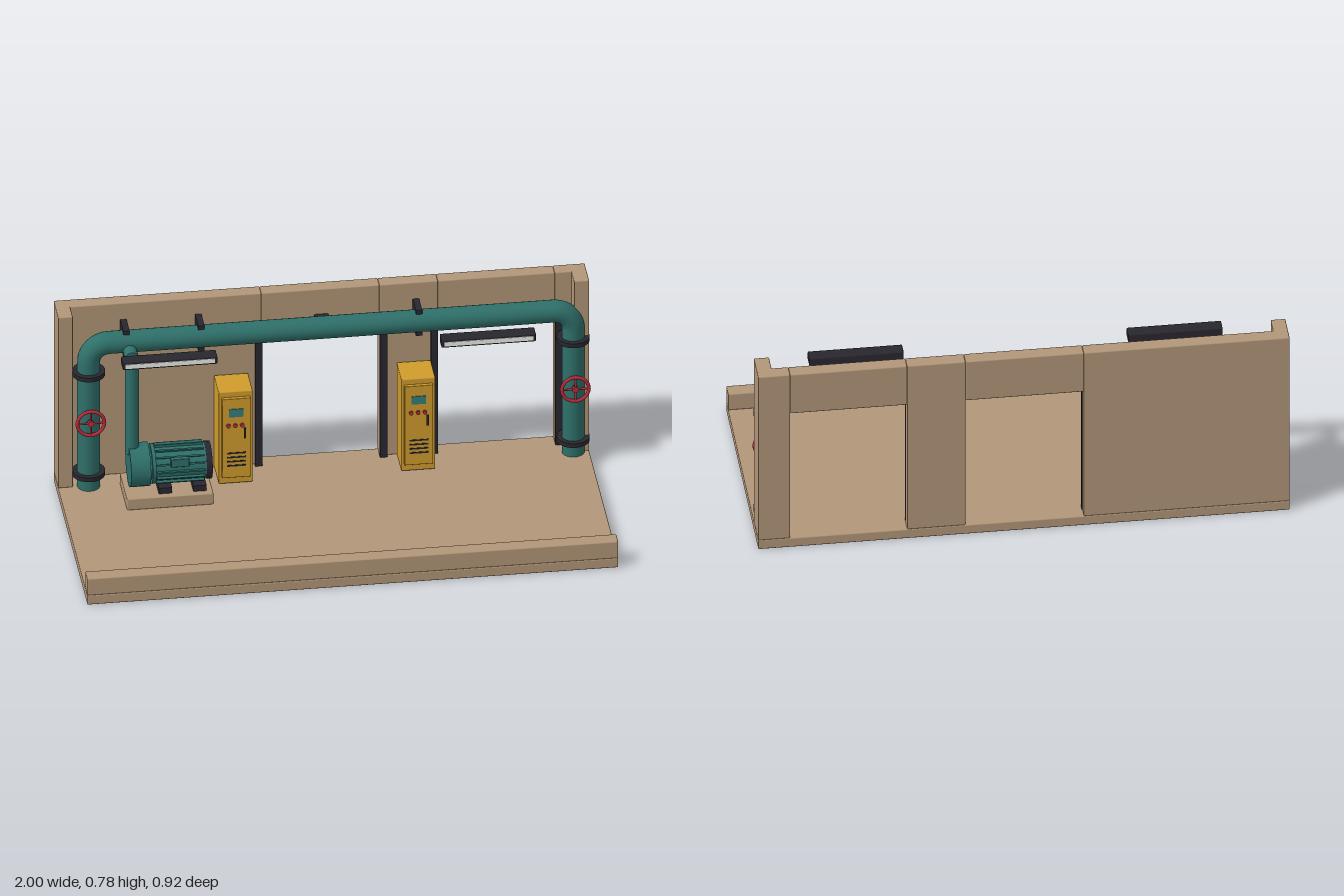
import * as THREE from 'three';
import { RoundedBoxGeometry } from 'three/addons/geometries/RoundedBoxGeometry.js';

const mat = (color) => new THREE.MeshStandardMaterial({ color });
const tan = mat(0xb29678), teal = mat(0x2f706a), dark = mat(0x29272f);
const yellow = mat(0xd09c2c), red = mat(0xb82c3c), white = mat(0xeeeeea), screenMat = mat(0x357f7a);

// Box given by its extents on each axis; a small bevel when requested
function box(parent, name, m, [x0, x1], [y0, y1], [z0, z1], bevel = 0) {
  const s = [x1 - x0, y1 - y0, z1 - z0];
  const g = bevel ? new RoundedBoxGeometry(...s, 1, bevel) : new THREE.BoxGeometry(...s);
  return add(parent, name, m, g, (x0 + x1) / 2, (y0 + y1) / 2, (z0 + z1) / 2);
}

function add(parent, name, m, g, x, y, z) {
  const mesh = new THREE.Mesh(g, m);
  mesh.name = name;
  mesh.position.set(x, y, z);
  parent.add(mesh);
  return mesh;
}

// Cylinder centred at (x, y, z), lying along the given axis
function rod(parent, name, m, r, len, axis, x, y, z, sides = 20) {
  const g = new THREE.CylinderGeometry(r, r, len, sides);
  if (axis === 'x') g.rotateZ(-Math.PI / 2);
  if (axis === 'z') g.rotateX(Math.PI / 2);
  return add(parent, name, m, g, x, y, z);
}

function group(parent, name) {
  const g = new THREE.Group();
  g.name = name;
  parent.add(g);
  return g;
}

function buildRoom(root) {
  const room = group(root, 'room');
  const back = [-0.46, -0.405], full = [0.04, 0.78];
  box(room, 'floor', tan, [-1, 1], [0, 0.04], [-0.46, 0.46], 0.004);
  box(room, 'frontCurb', tan, [-1, 1], [0.04, 0.112], [0.402, 0.46], 0.004);
  for (const x of [[-1, -0.225], [0.22, 0.44], [0.88, 1]])
    box(room, 'wallPanel', tan, x, full, back, 0.004);
  for (const x of [[-0.225, 0.22], [0.44, 0.88]])
    box(room, 'doorLintel', tan, x, [0.605, 0.78], back, 0.004);
  for (const x of [[-1, -0.945], [0.943, 1]])
    box(room, 'endWall', tan, x, full, [-0.46, -0.332], 0.004);

  // Door frames
  for (const [a, b] of [[-0.25, 0.247], [0.412, 0.908]]) {
    const frame = group(room, 'doorFrame'), z = [-0.415, -0.39];
    box(frame, 'leftJamb', dark, [b - 0.027, b], [0.04, 0.61], z);
    box(frame, 'rightJamb', dark, [a, a + 0.027], [0.04, 0.61], z);
    box(frame, 'headRail', dark, [a, b], [0.588, 0.61], z);
  }
  box(room, 'doorLamp', dark, [-0.027, 0.027], [0.603, 0.675], [-0.405, -0.378], 0.004);
}

function buildPipes(root) {
  const pipes = group(root, 'pipework');
  const r = 0.043, bend = 0.075, y = 0.655, z = -0.337, ends = [-0.885, 0.94];
  rod(pipes, 'mainPipe', teal, r, ends[1] - ends[0] - 2 * bend, 'x', (ends[0] + ends[1]) / 2, y, z);
  ends.forEach((x, i) => {
    const top = y - bend;
    rod(pipes, 'riserPipe', teal, r, top - 0.04, 'y', x, (top + 0.04) / 2, z);
    const elbow = add(pipes, 'elbow', teal, new THREE.TorusGeometry(bend, r, 20, 10, Math.PI / 2),
      x + (i ? -bend : bend), top, z);
    elbow.rotation.z = i ? 0 : Math.PI / 2;
    for (const fy of [0.1, 0.533]) rod(pipes, 'flange', dark, 0.062, 0.018, 'y', x, fy, z);

    // Valve handwheel on a short stem
    const valve = group(pipes, 'valve');
    valve.position.set(x, 0.345, -0.277);
    add(valve, 'wheelRim', red, new THREE.TorusGeometry(0.051, 0.007, 8, 28), 0, 0, 0);
    for (const angle of [0, Math.PI / 2]) {
      const spoke = rod(valve, 'wheelSpoke', red, 0.004, 0.1, 'y', 0, 0, 0, 8);
      spoke.rotation.z = angle;
    }
    rod(valve, 'wheelHub', red, 0.012, 0.014, 'z', 0, 0, 0, 12);
    rod(valve, 'valveStem', dark, 0.008, 0.05, 'z', 0, 0, -0.025, 10);
  });

  // Wall brackets around the main pipe
  for (const x of [-0.745, -0.463, 0.357])
    box(pipes, 'pipeBracket', dark, [x - 0.012, x + 0.012], [0.6, 0.71], [-0.405, -0.318]);

  // Branch from the main pipe down to the pump
  rod(pipes, 'branchDrop', teal, 0.026, 0.415, 'y', -0.735, 0.4375, -0.24);
  rod(pipes, 'branchTee', teal, 0.026, 0.1, 'z', -0.735, 0.635, -0.29);
}

function buildPump(root) {
  const pump = group(root, 'pump');
  const y = 0.178, z = -0.235;
  box(pump, 'plinth', tan, [-0.768, -0.442], [0.04, 0.088], [-0.335, -0.136], 0.004);
  for (const x of [-0.62, -0.49])
    box(pump, 'motorFoot', dark, [x - 0.025, x + 0.025], [0.088, 0.112], [-0.31, -0.16]);
  rod(pump, 'volute', teal, 0.084, 0.075, 'x', -0.712, y, z, 16);
  rod(pump, 'coupling', teal, 0.06, 0.03, 'x', -0.668, y, z);
  rod(pump, 'motorBody', teal, 0.069, 0.2, 'x', -0.56, y, z, 24);
  rod(pump, 'motorFlange', teal, 0.076, 0.014, 'x', -0.66, y, z, 24);
  rod(pump, 'fanCover', dark, 0.071, 0.022, 'x', -0.452, y, z, 24);

  // Cooling fins around the motor
  for (let i = 0; i < 16; i++) {
    const fin = group(pump, 'coolingFin');
    fin.position.set(-0.56, y, z);
    fin.rotation.x = (i / 16) * Math.PI * 2;
    box(fin, 'finBlade', teal, [-0.09, 0.09], [0.06, 0.078], [-0.003, 0.003]);
  }
  box(pump, 'terminalBox', teal, [-0.6, -0.53], [0.2, 0.235], [-0.175, -0.155], 0.003);
}

function buildCabinet(root, x) {
  const cabinet = group(root, 'controlCabinet');
  cabinet.position.x = x;
  box(cabinet, 'cabinetBody', yellow, [-0.064, 0.064], [0.045, 0.442], [-0.402, -0.272], 0.004);
  box(cabinet, 'cabinetDoor', yellow, [-0.054, 0.054], [0.078, 0.42], [-0.272, -0.256], 0.003);
  box(cabinet, 'screen', screenMat, [-0.028, 0.026], [0.342, 0.376], [-0.258, -0.253]);
  for (const bx of [-0.03, -0.004, 0.022])
    rod(cabinet, 'button', red, 0.008, 0.01, 'z', bx, 0.306, -0.253, 12);
  box(cabinet, 'doorHandle', dark, [0.028, 0.036], [0.25, 0.292], [-0.258, -0.249]);
  for (let i = 0; i < 4; i++)
    box(cabinet, 'ventSlot', dark, [-0.036, 0.036], [0.128 + i * 0.018, 0.134 + i * 0.018], [-0.258, -0.254]);
}

function buildLight(root, x) {
  const light = group(root, 'stripLight');
  light.position.x = x;
  box(light, 'lightHousing', dark, [-0.178, 0.178], [0.637, 0.67], [-0.207, -0.155], 0.004);
  box(light, 'lightPanel', white, [-0.168, 0.168], [0.644, 0.662], [-0.158, -0.153]);
}

export function createModel() {
  const root = new THREE.Group();
  root.name = 'pumpRoom';
  buildRoom(root);
  buildPipes(root);
  buildPump(root);
  for (const x of [-0.34, 0.348]) buildCabinet(root, x);
  for (const x of [-0.603, 0.597]) buildLight(root, x);
  return root;
}
